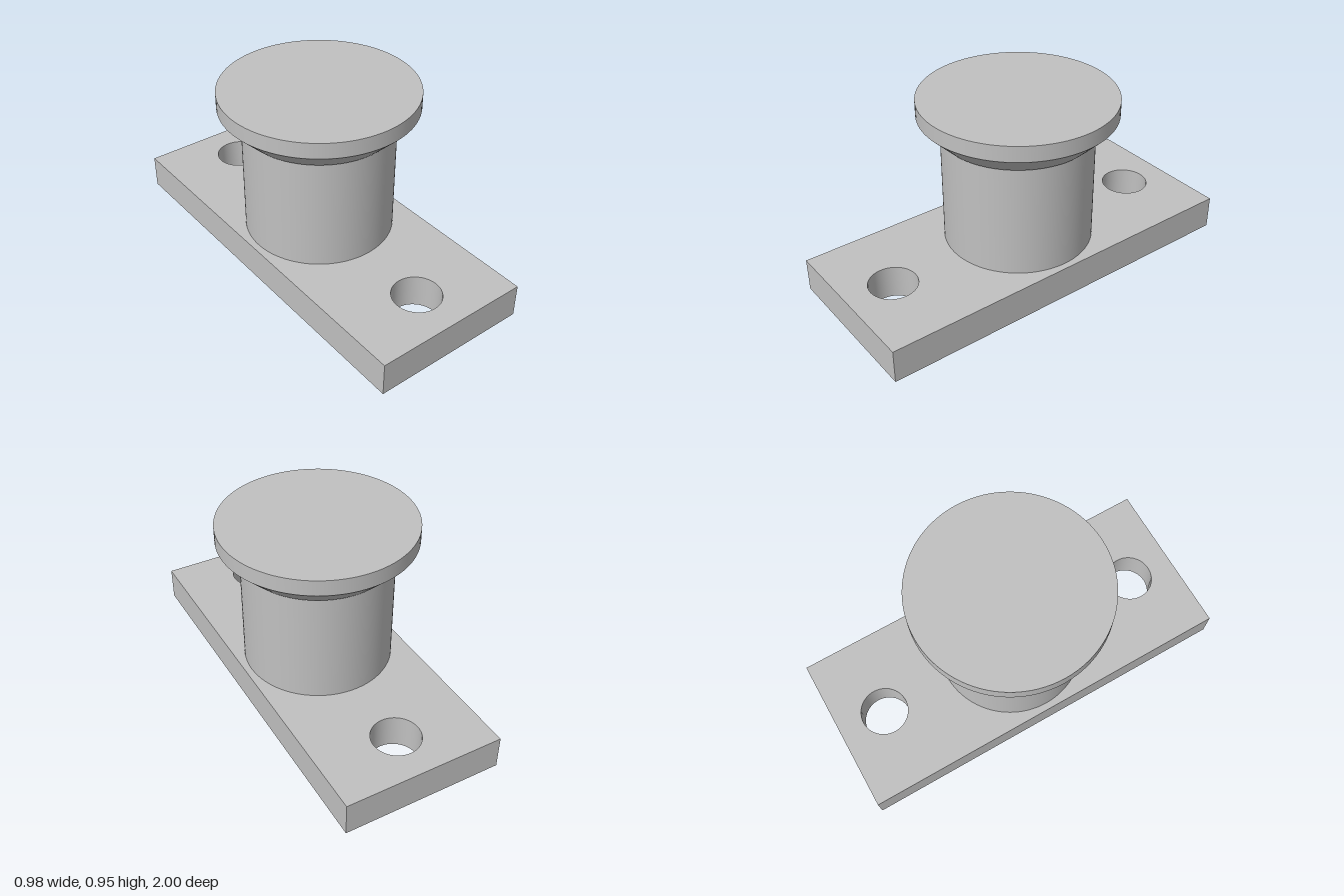
import * as THREE from 'three';
import { toCreasedNormals } from 'three/addons/utils/BufferGeometryUtils.js';

const SIDES = 96;

export function createModel() {
  const group = new THREE.Group();
  const steel = new THREE.MeshStandardMaterial({ color: 0xc0c0c0 });
  steel.name = 'light grey';

  const add = (name, geometry) => {
    const mesh = new THREE.Mesh(geometry, steel);
    mesh.name = name;
    group.add(mesh);
  };

  // Round section between two heights
  const round = (name, rTop, rBottom, y0, y1, open = false) => {
    const geometry = new THREE.CylinderGeometry(rTop, rBottom, y1 - y0, SIDES, 1, open);
    add(name, geometry.translate(0, (y0 + y1) / 2, 0));
  };

  // Base plate with two through bolt holes
  const halfWidth = 0.414, plateHeight = 0.176;
  const outline = new THREE.Shape([
    new THREE.Vector2(-halfWidth, -1),
    new THREE.Vector2(halfWidth, -1),
    new THREE.Vector2(halfWidth, 1),
    new THREE.Vector2(-halfWidth, 1),
  ]);
  for (const side of [-1, 1]) {
    outline.holes.push(new THREE.Path().absarc(0, side * 0.75, 0.122, 0, Math.PI * 2, true));
  }
  const plate = new THREE.ExtrudeGeometry(outline, {
    depth: plateHeight, bevelEnabled: false, curveSegments: 32,
  });
  plate.rotateX(-Math.PI / 2);
  add('basePlate', toCreasedNormals(plate, 0.6));

  // Post
  round('post', 0.38, 0.38, plateHeight, 0.765, true);

  // Flared collar, slightly wider than the post, and the flat head above it
  round('flaredCollar', 0.491, 0.389, 0.765, 0.867);
  round('head', 0.491, 0.491, 0.867, 0.948);

  return group;
}
